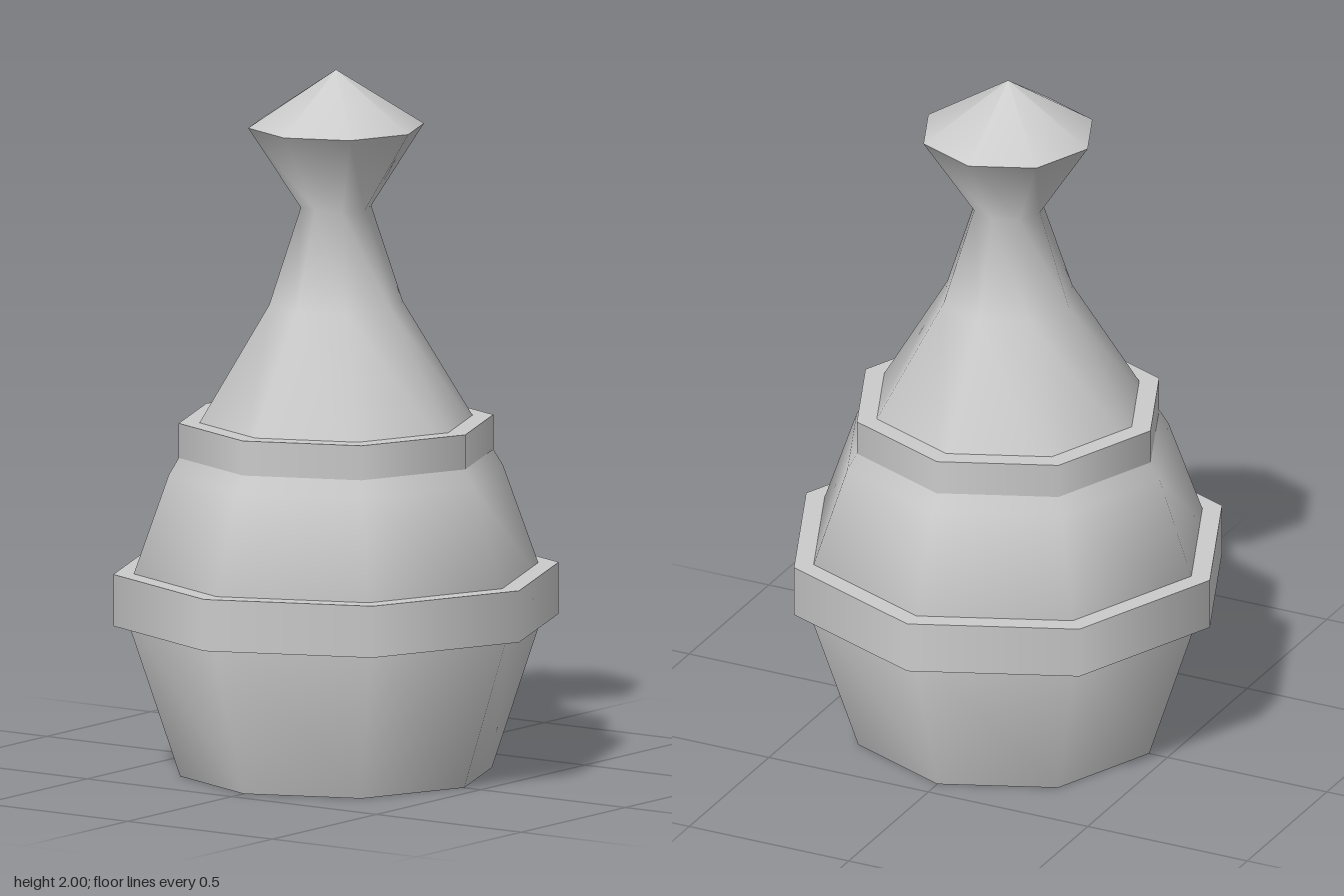
import * as THREE from 'three';

const SIDES = 8;
const material = new THREE.MeshStandardMaterial({ color: 0xcccccc });

// Eight-sided turned surface; points are [radius, height] from bottom to top
function turned(name, points) {
  const profile = points.map(([r, y]) => new THREE.Vector2(r, y));
  const mesh = new THREE.Mesh(new THREE.LatheGeometry(profile, SIDES), material);
  mesh.name = name;
  return mesh;
}

// Square-edged band: outer wall plus flat lower and upper ledges
function band(name, radius, bottom, top, innerBottom, innerTop) {
  const group = new THREE.Group();
  group.name = name;
  group.add(
    turned(name + 'Underside', [[innerBottom, bottom], [radius, bottom]]),
    turned(name + 'Wall', [[radius, bottom], [radius, top]]),
    turned(name + 'Ledge', [[radius, top], [innerTop, top]])
  );
  return group;
}

export function createModel() {
  const model = new THREE.Group();
  model.name = 'turnedPiece';
  model.add(
    // Flat foot
    turned('base', [[0, 0], [0.443, 0]]),
    // Belly, shoulder, spire and flared neck in one smooth surface
    turned('body', [
      [0.443, 0], [0.607, 0.49], [0.475, 0.86],
      [0.19, 1.335], [0.1, 1.61], [0.25, 1.84]
    ]),
    // Pointed cap
    turned('cap', [[0.25, 1.84], [0, 2]]),
    // Wide belt around the belly and the smaller collar above it
    band('belt', 0.633, 0.433, 0.58, 0.56, 0.55),
    band('collar', 0.447, 0.905, 1.005, 0.42, 0.36)
  );
  return model;
}
